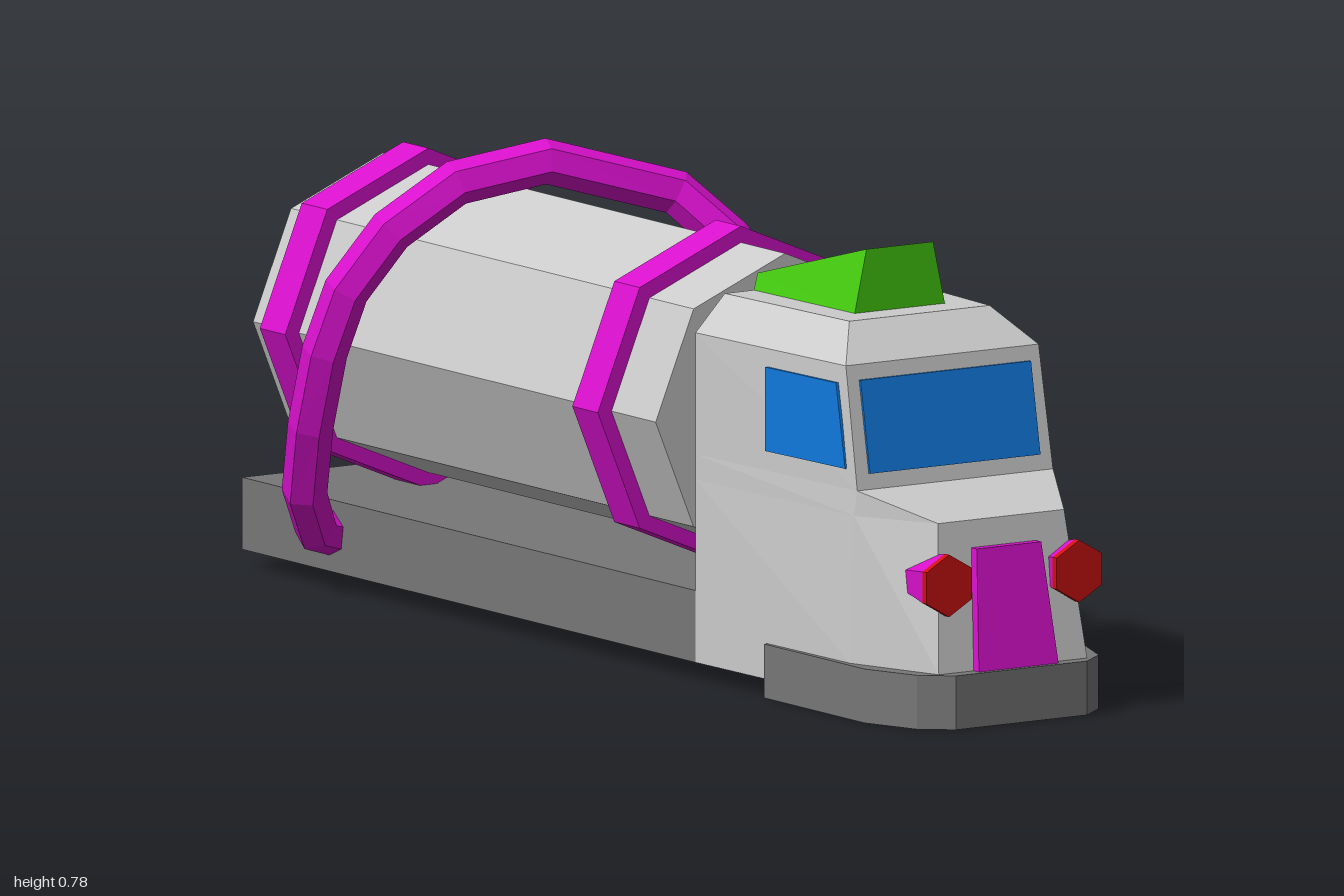
import * as THREE from 'three';

const V = (x, y, z) => new THREE.Vector3(x, y, z);
const paint = (color) => new THREE.MeshStandardMaterial({ color, flatShading: true, side: THREE.DoubleSide });
const grey = paint(0xcccccc), dark = paint(0x777777), purple = paint(0xd911cd);
const red = paint(0xd01010), green = paint(0x46d010), blue = paint(0x1179dd);

// Skins a list of rings (equal point counts) and caps both ends.
function loft(rings) {
  const pos = [];
  const n = rings[0].length, last = rings.length - 1;
  const tri = (a, b, c) => {
    const area = b.clone().sub(a).cross(c.clone().sub(a)).length();
    if (area > 1e-7) pos.push(...a, ...b, ...c);
  };
  for (let r = 0; r < last; r++) {
    for (let i = 0; i < n; i++) {
      const j = (i + 1) % n, A = rings[r], B = rings[r + 1];
      tri(A[i], A[j], B[j]);
      tri(A[i], B[j], B[i]);
    }
  }
  for (let i = 1; i < n - 1; i++) {
    tri(rings[0][0], rings[0][i + 1], rings[0][i]);
    tri(rings[last][0], rings[last][i], rings[last][i + 1]);
  }
  // turn the faces outward whichever way the rings run
  let volume = 0;
  for (let k = 0; k < pos.length; k += 9) {
    const [a, b, c] = [0, 3, 6].map((o) => V(pos[k + o], pos[k + o + 1], pos[k + o + 2]));
    volume += a.dot(b.cross(c));
  }
  if (volume < 0) {
    for (let k = 0; k < pos.length; k += 9) {
      for (let o = 0; o < 3; o++) [pos[k + o], pos[k + 3 + o]] = [pos[k + 3 + o], pos[k + o]];
    }
  }
  const geo = new THREE.BufferGeometry();
  geo.setAttribute('position', new THREE.Float32BufferAttribute(pos, 3));
  geo.computeVertexNormals();
  return geo;
}

// A flat outline pushed along an offset.
const slab = (pts, offset) => loft([pts, pts.map((p) => p.clone().add(offset))]);

// A regular polygon facing along z, with a corner at the top.
const polygon = (sides, r, x, y, z) => Array.from({ length: sides }, (_, i) => {
  const a = (i / sides) * Math.PI * 2;
  return V(x + Math.sin(a) * r, y + Math.cos(a) * r, z);
});

// A plan outline at height y from [halfWidth, z] points, mirrored in x.
const plan = (y, half) => [
  ...half.map(([x, z]) => V(x, y, z)),
  ...[...half].reverse().map(([x, z]) => V(-x, y, z)),
];

export function createModel() {
  const truck = new THREE.Group();
  truck.name = 'tankerTruck';
  const add = (name, geo, mat) => {
    const mesh = new THREE.Mesh(geo, mat);
    mesh.name = name;
    truck.add(mesh);
  };

  // chassis bed and wrap-round bumper
  const bed = [[0.215, 0.36], [0.215, -0.975]];
  add('chassis', loft([plan(0.03, bed), plan(0.15, bed)]), dark);
  const bumper = [[0.217, 0.565], [0.217, 0.86], [0.18, 0.96], [0.13, 1]];
  add('bumper', loft([plan(0, bumper), plan(0.09, bumper)]), dark);

  // cab: rear corner, shoulder and nose corner at each height
  add('cab', loft([
    plan(0.03, [[0.215, 0.36], [0.205, 0.8], [0.15, 0.98]]),
    plan(0.09, [[0.215, 0.36], [0.205, 0.8], [0.147, 0.975]]),
    plan(0.335, [[0.215, 0.36], [0.197, 0.8], [0.125, 0.94]]),
    plan(0.377, [[0.215, 0.36], [0.194, 0.805], [0.194, 0.805]]),
    plan(0.58, [[0.215, 0.36], [0.191, 0.767], [0.191, 0.767]]),
    plan(0.64, [[0.157, 0.36], [0.139, 0.7], [0.139, 0.7]]),
  ]), grey);

  // windows
  add('windshield', slab([
    V(-0.168, 0.403, 0.794), V(0.17, 0.403, 0.794), V(0.17, 0.555, 0.766), V(-0.168, 0.555, 0.766),
  ], V(0, 0, 0.01)), blue);
  for (const s of [1, -1]) {
    const wall = (z, y) => V(s * (0.215 - (z - 0.36) * 0.053), y, z);
    add('sideWindow', slab([
      wall(0.557, 0.41), wall(0.775, 0.41), wall(0.75, 0.55), wall(0.557, 0.55),
    ], V(s * 0.005, 0, 0)), blue);
  }

  // grille on the sloping nose
  add('grille', slab([
    V(-0.078, 0.088, 0.965), V(0.08, 0.088, 0.965), V(0.065, 0.29, 0.936), V(-0.063, 0.29, 0.936),
  ], V(0, 0, 0.026)), purple);

  // headlights and tail lights
  for (const s of [1, -1]) {
    const x = s * 0.129;
    add('headlightHousing', loft([
      polygon(6, 0.03, x, 0.237, 0.87), polygon(6, 0.052, x, 0.237, 0.967),
    ]), purple);
    add('headlight', slab(polygon(6, 0.052, x, 0.237, 0.967), V(0, 0, 0.012)), red);
    const tail = [[0.19, 0.055], [0.19, 0.115], [0.14, 0.115], [0.068, 0.085], [0.068, 0.055]];
    add('tailLight', slab(tail.map(([u, y]) => V(s * u, y, -0.97)), V(0, 0, -0.03)), red);
  }

  // wedge deflector on the roof
  add('roofDeflector', loft([
    [V(-0.1, 0.637, 0.36), V(0.1, 0.637, 0.36), V(0.092, 0.668, 0.36), V(-0.092, 0.668, 0.36)],
    [V(-0.09, 0.637, 0.642), V(0.09, 0.637, 0.642), V(0.066, 0.745, 0.642), V(-0.066, 0.745, 0.642)],
  ]), green);

  // octagonal tank with a tapered tail, and its two bands
  add('tank', loft([[0.257, 0.305], [0.257, -0.88], [0.165, -0.96]]
    .map(([r, z]) => polygon(8, r, 0, 0.427, z))), grey);
  for (const z of [0.1, -0.82]) {
    add('tankBand', slab(polygon(8, 0.284, 0, 0.427, z), V(0, 0, 0.075)), purple);
  }

  // hose from the cab's left side over the tank to the bed's right side
  const path = [
    [0.19, 0.29, 0.43], [0.265, 0.29, 0.395], [0.31, 0.29, 0.27], [0.33, 0.29, 0.07],
    [0.337, 0.36, -0.09], [0.32, 0.51, -0.21], [0.28, 0.6, -0.275], [0.215, 0.675, -0.335],
    [0, 0.738, -0.4], [-0.15, 0.711, -0.44], [-0.253, 0.635, -0.48], [-0.315, 0.535, -0.52],
    [-0.334, 0.43, -0.555], [-0.328, 0.3, -0.605], [-0.303, 0.18, -0.66], [-0.25, 0.105, -0.705],
    [-0.18, 0.085, -0.72],
  ];
  const curve = new THREE.CatmullRomCurve3(path.map((p) => V(...p)));
  // one tube ring at each path point
  curve.getPointAt = curve.getPoint;
  curve.getTangentAt = curve.getTangent;
  add('hose', new THREE.TubeGeometry(curve, path.length - 1, 0.038, 6), purple);

  return truck;
}
